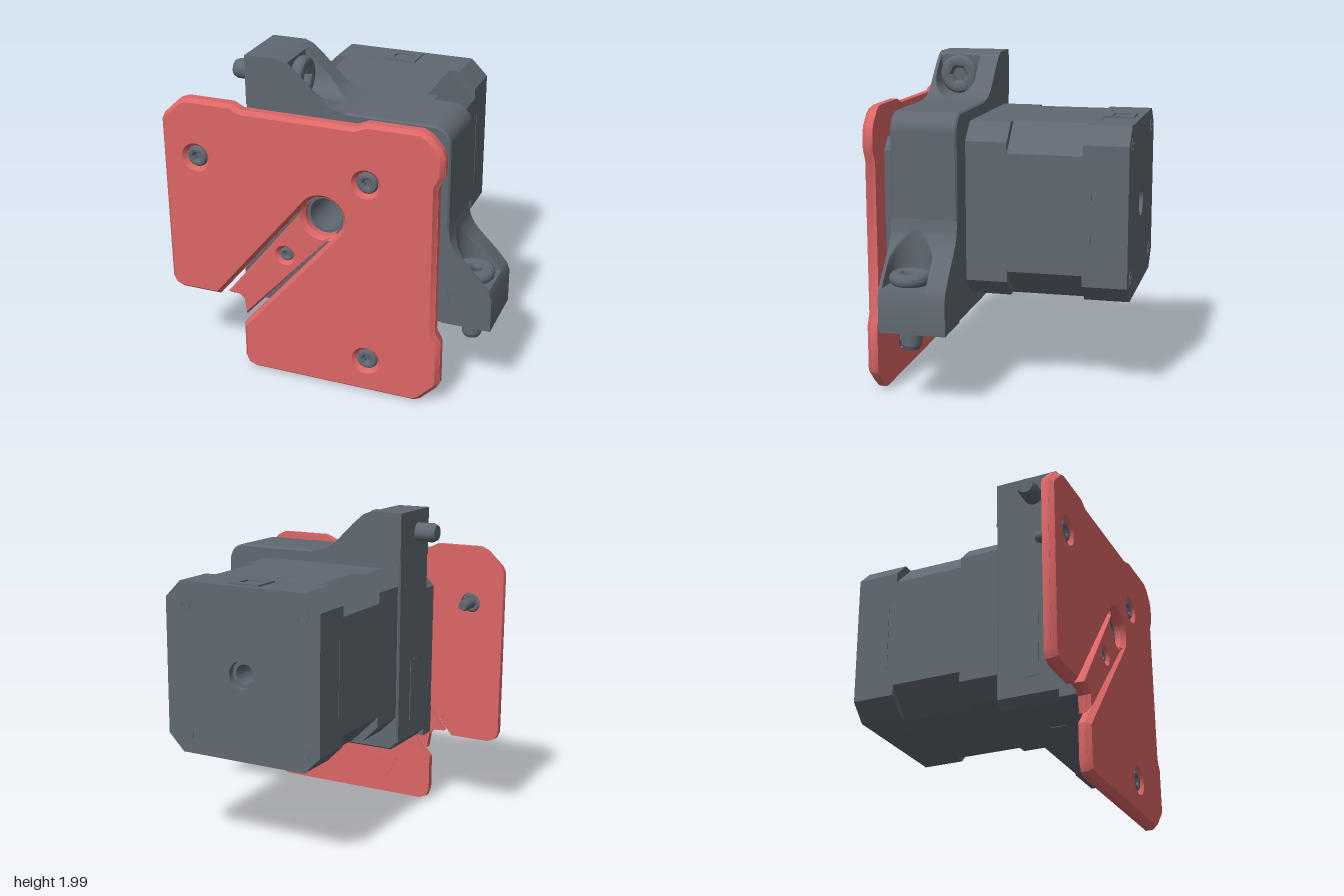
import * as THREE from 'three';
import { toCreasedNormals } from 'three/addons/utils/BufferGeometryUtils.js';

const grey = new THREE.MeshStandardMaterial({ color: 0x5f6871 });
grey.name = 'slate grey';
const red = new THREE.MeshStandardMaterial({ color: 0xdc6666 });
red.name = 'coral red';

const CX = 0.02, CY = 1.13; // shaft axis
const rad = (d) => (d * Math.PI) / 180;

function add(parent, name, geo, mat, x = 0, y = 0, z = 0) {
  const m = new THREE.Mesh(geo, mat);
  m.name = name;
  m.position.set(x, y, z);
  parent.add(m);
  return m;
}
const poly = (pts) => new THREE.Shape(pts.map(([x, y]) => new THREE.Vector2(x, y)));
const circle = (x, y, r) => new THREE.Path().absarc(x, y, r, 0, Math.PI * 2, true);
const ngon = (n, r) => poly(Array.from({ length: n }, (_, i) => [
  r * Math.cos((i / n) * Math.PI * 2), r * Math.sin((i / n) * Math.PI * 2)]));

// Extrude between z0 and z1, with an optional inward bevel at both ends
function slab(shape, z0, z1, bevel = 0, bevelDepth = bevel, segments = 1) {
  const g = new THREE.ExtrudeGeometry(shape, {
    depth: z1 - z0 - 2 * bevelDepth, curveSegments: 24, bevelEnabled: bevel > 0,
    bevelSize: bevel, bevelOffset: -bevel, bevelThickness: bevelDepth, bevelSegments: segments,
  });
  g.translate(0, 0, z0 + bevelDepth);
  return toCreasedNormals(g, 0.5);
}

// Plate with a square back edge and a chamfered front edge
function chamferedPlate(parent, name, shape) {
  add(parent, name, slab(shape, 0.7, 0.742), red);
  add(parent, name + 'Chamfer', slab(shape, 0.705, 0.77, 0.024, 0.03), red);
}

// Round-headed hex screw along +z, underside of the head at the origin
function screw(parent, name, headR, headH, shaftR, shaftL) {
  const g = new THREE.Group();
  g.name = name;
  const head = ngon(32, headR);
  head.holes.push(ngon(6, headR * 0.38));
  add(g, 'screwHead', slab(head, 0, headH, headR * 0.25, headH * 0.45, 3), grey);
  const shaft = new THREE.CylinderGeometry(shaftR, shaftR, shaftL - 0.012, 24);
  add(g, 'screwShaft', shaft, grey, 0, 0, -shaftL / 2 + 0.006 + headH * 0.2).rotation.x = Math.PI / 2;
  const tip = new THREE.CylinderGeometry(shaftR, shaftR * 0.8, 0.012 + headH * 0.2, 24);
  add(g, 'screwTip', tip, grey, 0, 0, -shaftL + 0.006 + headH * 0.1).rotation.x = Math.PI / 2;
  parent.add(g);
  return g;
}

// Thin triangular outline mark
function triangleMark(parent, name, pts, z0, z1, mat) {
  const s = poly(pts);
  const mx = (pts[0][0] + pts[1][0] + pts[2][0]) / 3, my = (pts[0][1] + pts[1][1] + pts[2][1]) / 3;
  s.holes.push(poly(pts.map(([x, y]) => [mx + (x - mx) * 0.82, my + (y - my) * 0.82])));
  add(parent, name, slab(s, z0, z1), mat);
}

// Height of a clamp arm along its length, with a round screw pocket cut into the slope
const PROFILE = [[0, 0.27], [0.21, 0.27], [0.26, 0.25], [0.33, 0.19], [0.45, 0.07], [0.49, 0.038], [0.54, 0.014], [0.62, 0]];
function armHeight(u, z, pocket) {
  let i = 1;
  while (i < PROFILE.length - 1 && u > PROFILE[i][0]) i++;
  const [a, b] = [PROFILE[i - 1], PROFILE[i]];
  const h = a[1] + ((b[1] - a[1]) * (u - a[0])) / (b[0] - a[0]);
  const d = 0.13 * 0.13 - (z - 0.45) ** 2;
  return pocket && d > 0 ? Math.min(h, 0.14 - Math.sqrt(d)) : h;
}
function armGeometry(place, flip) {
  const cols = [[0, 0, 1], [0, 0], [0.21, 0], [0.26, 0]]; // u, pocket, base
  for (let i = 0; i <= 24; i++) cols.push([0.26 + 0.015 * i, 1]);
  const rows = [[0.2, 1]];
  for (let i = 0; i <= 40; i++) rows.push([0.2 + 0.01 * i, 0]);
  rows.push([0.6, 1]);
  const pos = [], idx = [], n = rows.length;
  cols.forEach(([u, pocket, base], i) => rows.forEach(([z, rowBase], j) => {
    pos.push(...place(u, base || rowBase ? -0.03 : armHeight(u, z, pocket)), z);
    if (i && j) {
      const a = (i - 1) * n + j - 1, b = a + n, c = a + 1, d = b + 1;
      idx.push(...(flip ? [a, b, c, c, b, d] : [a, c, b, b, c, d]));
    }
  }));
  const g = new THREE.BufferGeometry();
  g.setAttribute('position', new THREE.Float32BufferAttribute(pos, 3));
  g.setIndex(idx);
  return toCreasedNormals(g, 0.5);
}

// Square motor outline with cut corners
function motorShape(c, holeR) {
  const h = 0.525, pts = [];
  for (const [sx, sy, k] of [[1, 1, 0], [-1, 1, 1], [-1, -1, 0], [1, -1, 1]]) {
    const p = [[CX + sx * h, CY + sy * (h - c)], [CX + sx * (h - c), CY + sy * h]];
    pts.push(...(k ? p.reverse() : p));
  }
  const s = poly(pts);
  s.holes.push(circle(CX, CY, holeR));
  return s;
}

function buildMotor(root) {
  const motor = new THREE.Group();
  motor.name = 'motor';
  root.add(motor);
  add(motor, 'motorFrontCap', slab(motorShape(0.105, 0.06), -0.05, 0.21), grey);
  add(motor, 'motorCore', slab(motorShape(0.17, 0.06), -0.5, -0.05), grey);
  add(motor, 'motorRearCap', slab(motorShape(0.105, 0.06), -0.73, -0.5), grey);
  add(motor, 'motorRearFace', slab(motorShape(0.105, 0.085), -0.77, -0.73), grey);
  // Cross-head screws in the rear corners
  for (const sx of [-1, 1]) for (const sy of [-1, 1]) {
    const x = CX + sx * 0.4, y = CY + sy * 0.4;
    add(motor, 'rearScrew', new THREE.CylinderGeometry(0.055, 0.055, 0.008, 24), grey, x, y, -0.77).rotation.x = Math.PI / 2;
    for (const a of [45, 135])
      add(motor, 'rearScrewCross', new THREE.BoxGeometry(0.065, 0.014, 0.004), grey, x, y, -0.775).rotation.z = rad(a);
  }
  // Seams round the rear cap
  for (const s of [-1, 1]) {
    add(motor, 'sideSeam', new THREE.BoxGeometry(0.006, 0.46, 0.006), grey, CX + s * 0.525, CY, -0.55);
    add(motor, 'endSeam', new THREE.BoxGeometry(0.46, 0.006, 0.006), grey, CX, CY + s * 0.525, -0.55);
  }
  // Cable socket on top
  const socket = poly([[-0.1, -0.09], [0.1, -0.09], [0.1, 0.09], [-0.1, 0.09]]);
  socket.holes.push(poly([[-0.06, -0.045], [0.06, -0.045], [0.06, 0.045], [-0.06, 0.045]]));
  add(motor, 'socket', slab(socket, 0, 0.02), grey, CX, 1.645, -0.64).rotation.x = -Math.PI / 2;
}

function buildMount(root) {
  const mount = new THREE.Group();
  mount.name = 'mount';
  root.add(mount);
  const body = new THREE.Shape();
  body.moveTo(-0.47, 0.49);
  body.lineTo(0.73, 0.49);
  body.lineTo(0.73, 1.62);
  body.absarc(0.62, 1.62, 0.11, 0, Math.PI / 2, false);
  body.lineTo(-0.52, 1.73);
  body.lineTo(-0.52, 0.54);
  body.holes.push(circle(CX, CY, 0.1));
  add(mount, 'mountBody', slab(body, 0.2, 0.6, 0.01), grey);

  // Two mirrored clamp arms and their screws
  add(mount, 'topArm', armGeometry((u, h) => [-0.52 + u, 1.73 + h], false), grey);
  add(mount, 'sideArm', armGeometry((u, h) => [0.73 + h, 0.49 + u], true), grey);
  const top = screw(mount, 'topArmScrew', 0.123, 0.075, 0.06, 0.39);
  top.position.set(-0.26, 1.86, 0.45);
  top.rotation.y = Math.PI / 2;
  const side = screw(mount, 'sideArmScrew', 0.123, 0.075, 0.06, 0.39);
  side.position.set(0.85, 0.75, 0.45);
  side.rotation.x = -Math.PI / 2;

  triangleMark(mount, 'mountMark', [[0.72, 0.735], [0.755, 0.61], [0.82, 0.735]], 0.597, 0.603, grey);
  // Shallow pads on the outer faces
  add(mount, 'sidePad', new THREE.BoxGeometry(0.008, 0.4, 0.1), grey, -0.52, 0.85, 0.42);
  add(mount, 'bottomPad', new THREE.BoxGeometry(0.4, 0.008, 0.1), grey, 0.08, 0.49, 0.42);

  // Spacer between mount and plate
  const spacer = poly([[-0.52, 0.49], [0.48, 0.49], [0.55, 0.56], [0.55, 1.48], [0.48, 1.55], [0.2, 1.55],
    [0.13, 1.48], [-0.28, 1.48], [-0.35, 1.55], [-0.45, 1.55], [-0.52, 1.48]]);
  spacer.holes.push(circle(CX, CY, 0.1));
  add(mount, 'spacer', slab(spacer, 0.59, 0.705), grey);
}

function buildPlate(root) {
  const plate = new THREE.Group();
  plate.name = 'frontPlate';
  root.add(plate);
  const s = new THREE.Shape();
  const line = (pts) => pts.forEach(([x, y]) => s.lineTo(x, y));
  s.moveTo(-1, 1.6);
  line([[-1, 0.55], [-0.98, 0.505], [-0.93, 0.485], [-0.675, 0.485]]);
  s.absarc(CX, CY, 0.125, rad(140.4), rad(-39.6), true); // slot end round the shaft
  line([[-0.52, 0.31], [-0.52, 0.08], [-0.5, 0.03], [-0.45, 0.01], [0.59, 0.01], [0.63, 0.03], [0.73, 0.13],
    [0.745, 0.16], [0.745, 0.44], [0.71, 0.51], [0.71, 1.43], [0.745, 1.5], [0.745, 1.61], [0.725, 1.66],
    [0.66, 1.73], [0.61, 1.755], [0.29, 1.755], [0.22, 1.725], [-0.48, 1.725], [-0.54, 1.755],
    [-0.83, 1.755], [-0.88, 1.735], [-0.98, 1.64]]);
  const spots = [[-0.78, 1.39], [0.29, 1.39], [0.29, 0.23]];
  for (const [x, y] of spots) s.holes.push(circle(x, y, 0.065));
  chamferedPlate(plate, 'plate', s);
  for (const [x, y] of spots)
    screw(plate, 'plateScrew', 0.065, 0.055, 0.035, 0.13).position.set(x, y, 0.705);

  // Lever lying in the diagonal slot
  const arm = poly([[-0.622, 0.51], [-0.55, 0.505], [-0.515, 0.475], [-0.5, 0.375]]);
  arm.absarc(CX, CY, 0.116, rad(-45), rad(-214), true);
  arm.holes.push(circle(-0.22, 0.845, 0.04));
  chamferedPlate(plate, 'lever', arm);
  screw(plate, 'leverScrew', 0.045, 0.05, 0.025, 0.1).position.set(-0.22, 0.845, 0.705);

  triangleMark(plate, 'plateMark', [[-0.29, 0.27], [-0.2, 0.12], [-0.11, 0.27]], 0.696, 0.702, red);
}

export function createModel() {
  const root = new THREE.Group();
  root.name = 'motorAssembly';
  buildMotor(root);
  buildMount(root);
  buildPlate(root);
  return root;
}
